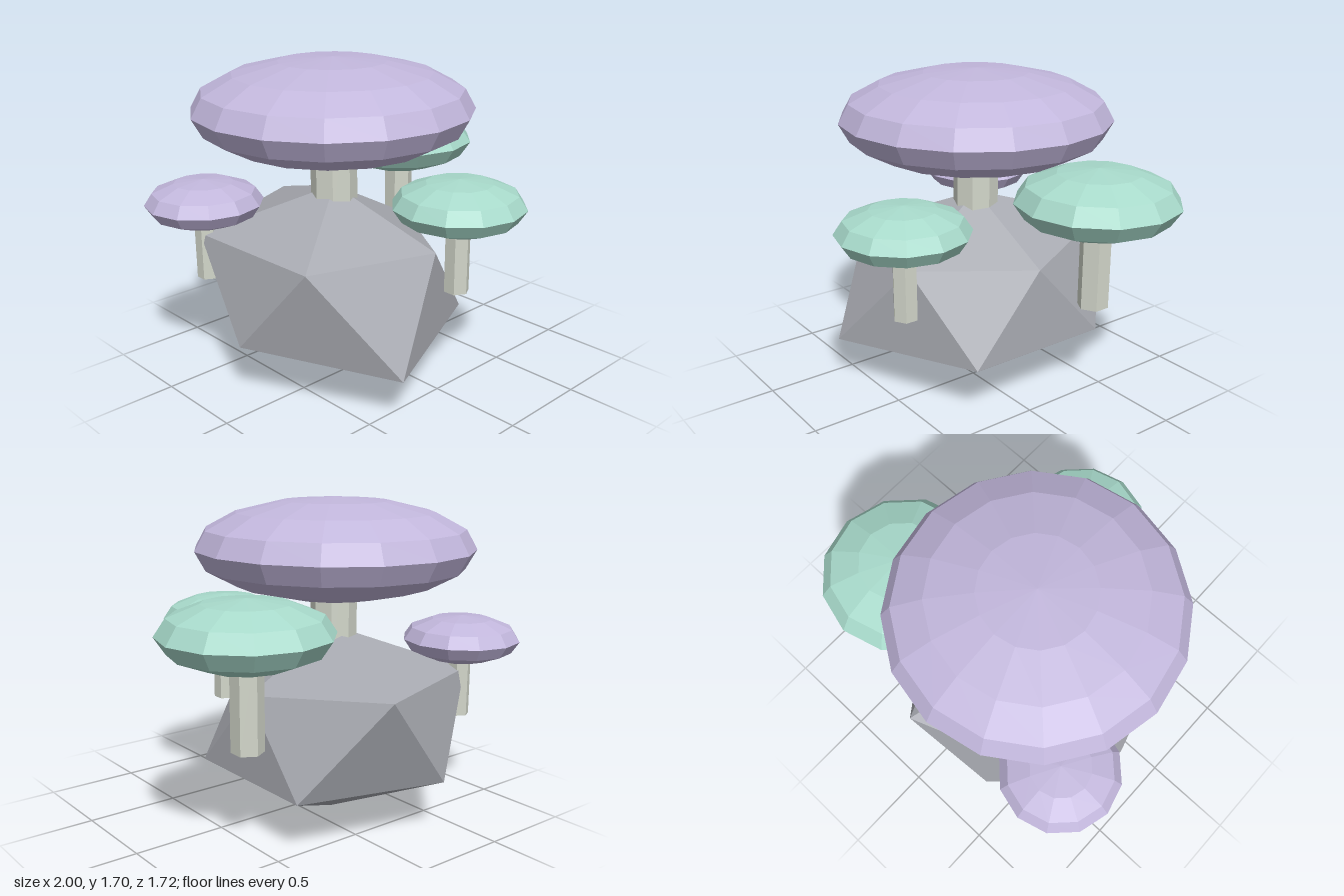
import * as THREE from 'three';

const mat = (name, color) => new THREE.MeshStandardMaterial({ name, color, flatShading: true });

export function createModel() {
  const stone = mat('stoneGrey', 0xa9abb2);
  const lilac = mat('lilac', 0xc2b7dc);
  const mint = mat('mint', 0xa8dacb);
  const pale = mat('paleStem', 0xd2d6ca);

  const model = new THREE.Group();
  model.name = 'mushroomRock';
  const cx = -0.15, cz = -0.13;

  // Rock: uneven icosahedron, two rings of five [radius, height] between two tips
  const lower = [[0.70, 0.284], [0.80, 0.246], [0.656, 0.30], [0.673, 0.285], [0.70, 0.282]]; // from 36 degrees
  const upper = [[0.554, 0.734], [0.595, 0.745], [0.667, 0.777], [0.712, 0.787], [0.757, 0.803]]; // from 0 degrees
  const ring = (list, start) => list.map(([r, y], i) => {
    const a = start + i * Math.PI * 2 / 5;
    return [cx + r * Math.cos(a), y, cz + r * Math.sin(a)];
  });
  const lo = ring(lower, Math.PI / 5), up = ring(upper, 0);
  const top = [cx, 1.025, cz], bottom = [cx, 0, cz];
  const points = [];
  for (let i = 0; i < 5; i++) {
    const j = (i + 1) % 5;
    points.push(top, up[j], up[i]);
    points.push(up[i], up[j], lo[i]);
    points.push(lo[i], up[j], lo[j]);
    points.push(bottom, lo[i], lo[j]);
  }
  const rockGeo = new THREE.BufferGeometry();
  rockGeo.setAttribute('position', new THREE.Float32BufferAttribute(points.flat(), 3));
  rockGeo.computeVertexNormals();
  const rock = new THREE.Mesh(rockGeo, stone);
  rock.name = 'rock';
  model.add(rock);

  // Mushrooms: squashed faceted cap on a straight stem
  function mushroom(name, material, x, z, capY, capR, capH, stemR, baseY, capSides, stemSides) {
    const group = new THREE.Group();
    group.name = name;
    group.position.set(x, 0, z);
    const capGeo = new THREE.SphereGeometry(1, capSides, capSides / 2);
    capGeo.scale(capR, capH, capR);
    const cap = new THREE.Mesh(capGeo, material);
    cap.name = 'cap';
    cap.position.y = capY;
    const height = capY - baseY;
    const stem = new THREE.Mesh(new THREE.CylinderGeometry(stemR, stemR, height, stemSides), pale);
    stem.name = 'stem';
    stem.position.y = baseY + height / 2;
    group.add(cap, stem);
    model.add(group);
  }
  mushroom('largeMushroom', lilac, cx, cz, 1.441, 0.735, 0.263, 0.123, 0.945, 16, 8);
  mushroom('leftMushroom', mint, 0.57, -0.355, 1.113, 0.43, 0.172, 0.083, 0.537, 12, 6);
  mushroom('frontMushroom', mint, 0.115, 0.512, 1.003, 0.345, 0.138, 0.067, 0.537, 12, 6);
  mushroom('backMushroom', lilac, -0.69, -0.545, 0.957, 0.31, 0.124, 0.06, 0.537, 12, 6);

  return model;
}
